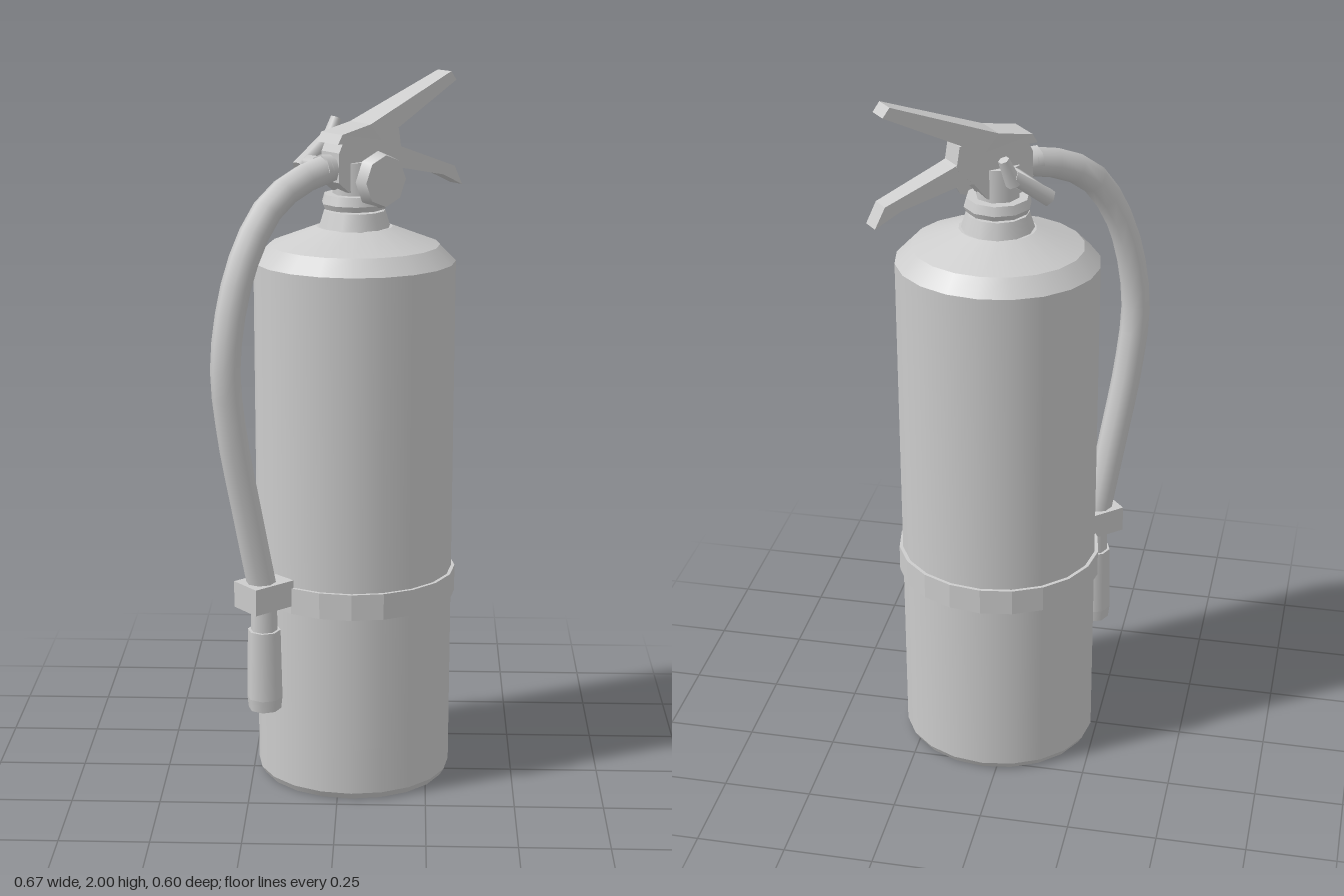
import * as THREE from 'three';

const grey = new THREE.MeshStandardMaterial({ color: 0xcccccc });
grey.name = 'plain grey';
grey.side = THREE.DoubleSide;

function add(parent, name, geometry, x = 0, y = 0, z = 0) {
  const mesh = new THREE.Mesh(geometry, grey);
  mesh.name = name;
  mesh.position.set(x, y, z);
  parent.add(mesh);
  return mesh;
}

// stack of cylinder sections with crisp edges between them: [radius, y] rings
function stack(parent, name, rings, sides, x = 0) {
  const group = new THREE.Group();
  group.name = name;
  for (let i = 0; i < rings.length - 1; i++) {
    const [r0, y0] = rings[i], [r1, y1] = rings[i + 1];
    const open = i > 0 && i < rings.length - 2;
    add(group, name + 'Section', new THREE.CylinderGeometry(r1, r0, y1 - y0, sides, 1, open), x, (y0 + y1) / 2);
  }
  parent.add(group);
  return group;
}

// side outline extruded across its width, narrowing towards the tip
function plate(parent, name, points, width, tipWidth, tipX) {
  const shape = new THREE.Shape(points.map(([x, y]) => new THREE.Vector2(x, y)));
  const geometry = new THREE.ExtrudeGeometry(shape, { depth: 1, bevelEnabled: false });
  const p = geometry.attributes.position;
  for (let i = 0; i < p.count; i++) {
    const t = THREE.MathUtils.clamp(p.getX(i) / tipX, 0, 1);
    p.setZ(i, (p.getZ(i) - 0.5) * THREE.MathUtils.lerp(width, tipWidth, t));
  }
  geometry.computeVertexNormals();
  return add(parent, name, geometry);
}

// straight bar between two points
function rod(parent, name, a, b, r0, r1, sides = 6) {
  const from = new THREE.Vector3(...a), to = new THREE.Vector3(...b);
  const dir = to.clone().sub(from);
  const mesh = add(parent, name, new THREE.CylinderGeometry(r1, r0, dir.length(), sides));
  mesh.position.copy(from).add(to).multiplyScalar(0.5);
  mesh.quaternion.setFromUnitVectors(new THREE.Vector3(0, 1, 0), dir.normalize());
  return mesh;
}

export function createModel() {
  const model = new THREE.Group();
  model.name = 'fireExtinguisher';

  // tank, slightly oval
  const tank = new THREE.Group();
  tank.name = 'tank';
  tank.position.set(0.04, 0, -0.032);
  tank.scale.set(1, 1, 0.92);
  model.add(tank);
  stack(tank, 'tankBody', [[0.265, 0], [0.277, 0.02], [0.279, 1.505], [0.235, 1.55], [0.105, 1.6]], 20);
  const bandProfile = [[0.27, 0.545], [0.288, 0.545], [0.288, 0.62], [0.27, 0.62], [0.27, 0.545]];
  const bandGeometry = new THREE.LatheGeometry(bandProfile.map(([r, y]) => new THREE.Vector2(r, y)), 20).toNonIndexed();
  bandGeometry.computeVertexNormals();
  add(tank, 'band', bandGeometry);

  // head, hose and levers share one plane turned to the diagonal
  const head = new THREE.Group();
  head.name = 'head';
  head.position.set(0.04, 0, -0.03);
  head.rotation.y = 0.72;
  model.add(head);

  // neck and valve
  stack(head, 'neck', [[0.105, 1.58], [0.085, 1.645]], 12);
  stack(head, 'collar', [[0.085, 1.65], [0.092, 1.665], [0.085, 1.69]], 10);
  stack(head, 'valveStem', [[0.06, 1.64], [0.06, 1.78]], 8);
  plate(head, 'valveBody', [[-0.085, 1.73], [-0.05, 1.7], [0.05, 1.7], [0.09, 1.75], [0.14, 1.8], [0.13, 1.86], [0.05, 1.87], [-0.06, 1.86], [-0.085, 1.81]], 0.075, 0.065, 0.14);

  // levers
  plate(head, 'upperLever', [[-0.095, 1.835], [-0.08, 1.86], [0.02, 1.88], [0.325, 2], [0.345, 1.975], [0.13, 1.865], [0.06, 1.835]], 0.09, 0.055, 0.34);
  plate(head, 'lowerLever', [[0.05, 1.75], [0.09, 1.83], [0.15, 1.805], [0.345, 1.735], [0.375, 1.68], [0.3, 1.715], [0.14, 1.75]], 0.07, 0.05, 0.37);

  // pressure gauge
  rod(head, 'gaugeStem', [0.015, 1.74, 0], [0.015, 1.74, 0.085], 0.035, 0.035);
  rod(head, 'gauge', [0.015, 1.735, 0.08], [0.015, 1.735, 0.115], 0.078, 0.07, 8);

  // safety pin with its upturned pull
  rod(head, 'pin', [-0.02, 1.755, 0], [-0.025, 1.755, -0.195], 0.028, 0.022);
  rod(head, 'pinPull', [-0.045, 1.74, -0.185], [0.065, 1.82, -0.19], 0.025, 0.02);
  rod(head, 'pinTip', [0.06, 1.8, -0.19], [0.09, 1.87, -0.19], 0.022, 0.015);

  // hose with its fitting
  rod(head, 'hoseFitting', [-0.05, 1.765, 0], [-0.12, 1.765, 0], 0.035, 0.042, 8);
  const path = [[-0.1, 1.765], [-0.18, 1.745], [-0.29, 1.685], [-0.39, 1.53], [-0.445, 1.29],
    [-0.43, 1.1], [-0.375, 0.83], [-0.325, 0.6]];
  const curve = new THREE.CatmullRomCurve3(path.map(([x, y]) => new THREE.Vector3(x, y, 0)));
  add(head, 'hose', new THREE.TubeGeometry(curve, 18, 0.041, 8));

  // clip on the band and nozzle below it
  add(head, 'hoseClip', new THREE.BoxGeometry(0.13, 0.075, 0.1), -0.325, 0.605, 0);
  stack(head, 'nozzleNeck', [[0.038, 0.48], [0.036, 0.6]], 8, -0.325);
  stack(head, 'nozzle', [[0.046, 0.265], [0.05, 0.3], [0.046, 0.5]], 8, -0.325);
  return model;
}
